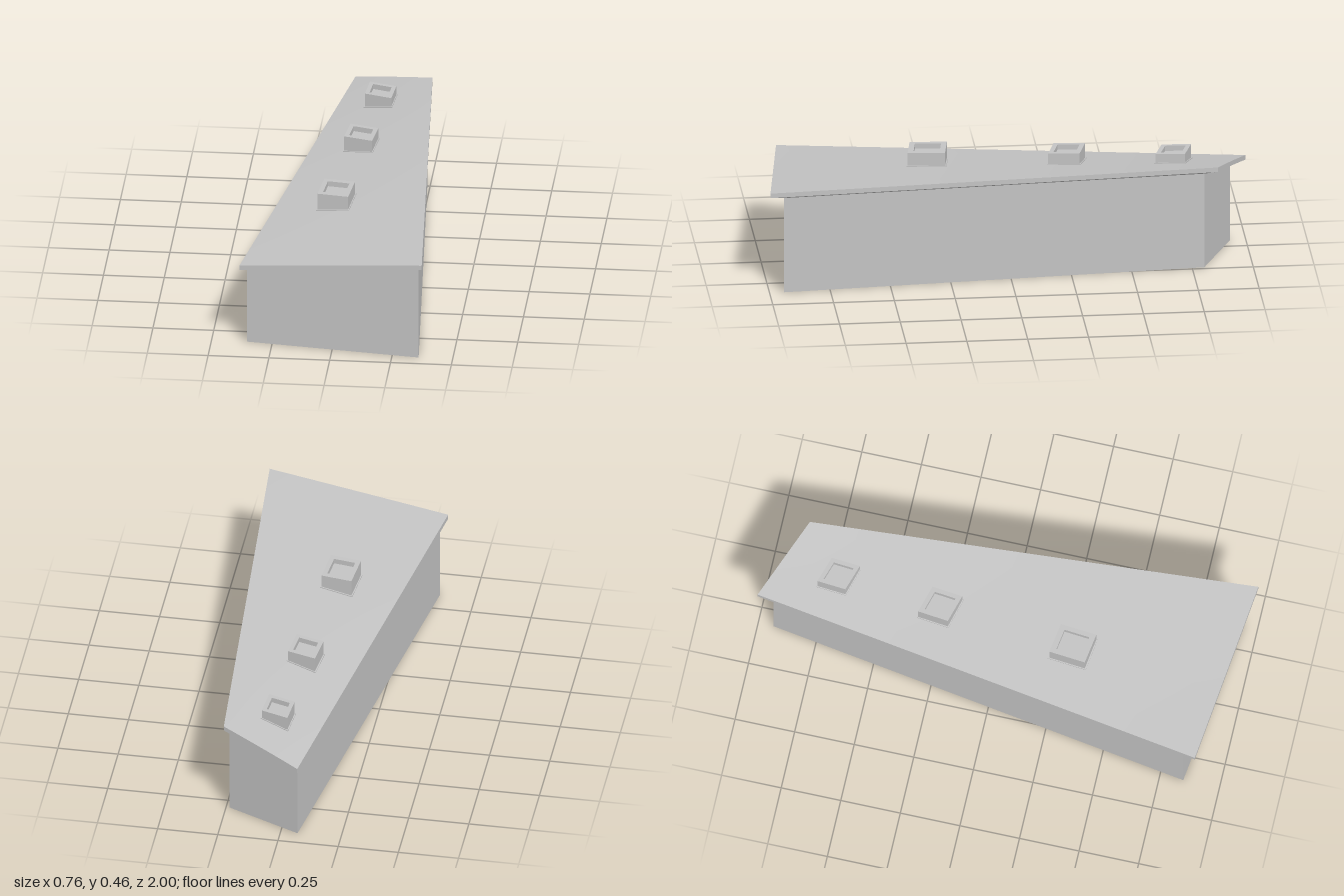
import * as THREE from 'three';

// Plan outlines as [x, z]: back left, back right, front right, front left (as seen from the front)
const ROOF = [[-0.08, -1.0], [0.25, -0.855], [0.378, 0.998], [-0.38, 0.902]];
const WALLS = [[-0.07, -0.935], [0.235, -0.8], [0.36, 0.94], [-0.355, 0.848]];
const LOW = 0.366, HIGH = 0.44;

// Ruled roof surface: level along both long edges, rising from left to right
function roofY(x, z) {
  const along = (a, b) => a[0] + (b[0] - a[0]) * (z - a[1]) / (b[1] - a[1]);
  const left = along(ROOF[0], ROOF[3]), right = along(ROOF[1], ROOF[2]);
  return LOW + (HIGH - LOW) * (x - left) / (right - left);
}

// Box bent onto a bottom and a top outline, with heights given by rules
function warpedBox(bottom, top, yBottom, yTop, nx = 1, nz = 1) {
  const g = new THREE.BoxGeometry(1, 1, 1, nx, 1, nz);
  const p = g.attributes.position;
  for (let i = 0; i < p.count; i++) {
    const u = p.getX(i) + 0.5, v = p.getZ(i) + 0.5, up = p.getY(i) > 0;
    const q = up ? top : bottom;
    const [x, z] = [0, 1].map(k =>
      (q[0][k] * (1 - u) + q[1][k] * u) * (1 - v) + (q[3][k] * (1 - u) + q[2][k] * u) * v);
    p.setXYZ(i, x, (up ? yTop : yBottom)(x, z), z);
  }
  g.computeVertexNormals();
  return g;
}

const flat = y => () => y;
const onRoof = d => (x, z) => roofY(x, z) + d;

export function createModel() {
  const model = new THREE.Group();
  const grey = new THREE.MeshStandardMaterial({ color: 0xc4c4c4 });
  grey.name = 'concrete grey';
  const add = (parent, name, geometry) => {
    const m = new THREE.Mesh(geometry, grey);
    m.name = name;
    parent.add(m);
  };

  // Building body, roof slab and tapered soffit under the overhang
  add(model, 'walls', warpedBox(WALLS, WALLS, flat(0), onRoof(-0.024), 8, 16));
  add(model, 'roofSlab', warpedBox(ROOF, ROOF, onRoof(-0.02), onRoof(0), 8, 16));
  add(model, 'soffit', warpedBox(WALLS, ROOF, onRoof(-0.027), onRoof(-0.019), 8, 16));

  // Three skylight curbs: centre, half side to the right, half side to the front, top height
  const skylights = [
    { c: [-0.037, 0.313], r: [0.064, 0.010], f: [-0.007, 0.076], top: 0.463 },
    { c: [0.013, -0.255], r: [0.059, 0.017], f: [-0.007, 0.064], top: 0.457 },
    { c: [0.052, -0.690], r: [0.056, 0.018], f: [-0.005, 0.060], top: 0.452 },
  ];
  skylights.forEach(({ c, r, f, top }, n) => {
    const group = new THREE.Group();
    group.name = 'skylight' + (n + 1);
    const outline = s => [[-1, -1], [1, -1], [1, 1], [-1, 1]].map(([a, b]) =>
      [0, 1].map(k => c[k] + s * (a * r[k] + b * f[k])));
    const base = outline(1.07), outer = outline(1), inner = outline(0.7);
    add(group, 'flashing', warpedBox(base, base, onRoof(-0.005), onRoof(0.004)));
    for (let i = 0; i < 4; i++) {
      const j = (i + 1) % 4;
      const side = [outer[i], outer[j], inner[j], inner[i]];
      add(group, 'curbWall', warpedBox(side, side, onRoof(-0.005), flat(top)));
    }
    add(group, 'skylightPane', warpedBox(inner, inner, onRoof(-0.005), flat(top - 0.022)));
    model.add(group);
  });
  return model;
}
